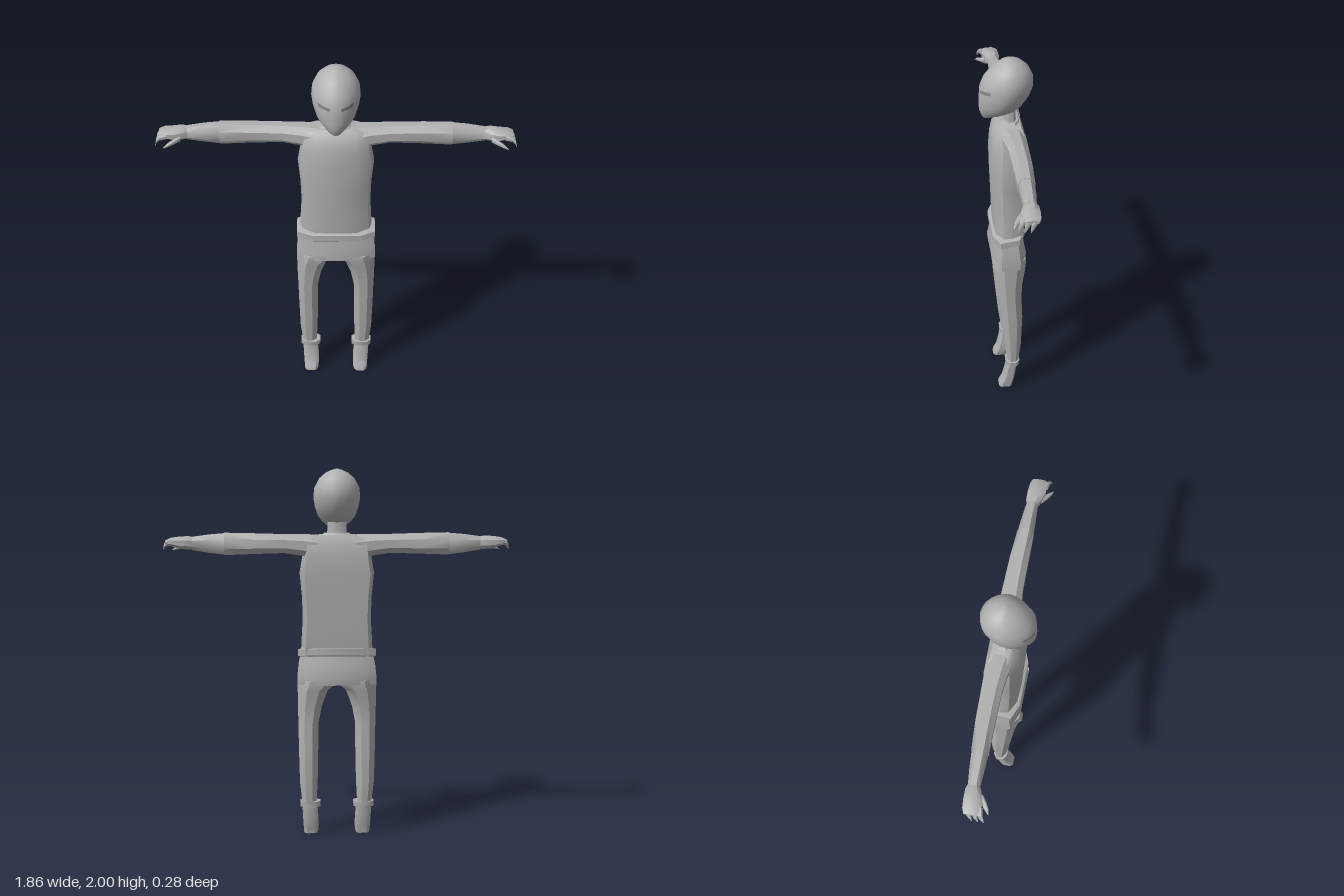
import * as THREE from 'three';
import { toCreasedNormals } from 'three/addons/utils/BufferGeometryUtils.js';

const grey = new THREE.MeshStandardMaterial({ color: 0xb0b0b0 });
grey.name = 'grey';
const darkGrey = new THREE.MeshStandardMaterial({ color: 0x858585, side: THREE.DoubleSide });
darkGrey.name = 'dark grey';

// Capped skin over rings of [x, y, z] points, turned outward by its signed volume
function loft(rings, crease = 0.65) {
  const n = rings[0].length, m = rings.length, pts = rings.flat(), idx = [];
  for (let i = 0; i < m - 1; i++) {
    for (let j = 0; j < n; j++) {
      const a = i * n + j, b = i * n + (j + 1) % n;
      idx.push(a, b, b + n, a, b + n, a + n);
    }
  }
  [0, m - 1].forEach((r, end) => {
    const c = [0, 1, 2].map(k => rings[r].reduce((s, p) => s + p[k], 0) / n);
    pts.push(c);
    for (let j = 0; j < n; j++) {
      const a = r * n + j, b = r * n + (j + 1) % n;
      idx.push(...(end ? [a, b, pts.length - 1] : [b, a, pts.length - 1]));
    }
  });
  const v = pts.map(p => new THREE.Vector3(...p));
  let volume = 0;
  for (let i = 0; i < idx.length; i += 3) {
    volume += v[idx[i]].dot(v[idx[i + 1]].clone().cross(v[idx[i + 2]]));
  }
  if (volume < 0) idx.reverse();
  const g = new THREE.BufferGeometry();
  g.setAttribute('position', new THREE.Float32BufferAttribute(pts.flat(), 3));
  g.setIndex(idx);
  return toCreasedNormals(g, crease);
}

// Octagon inside the rectangle a0..a1 by b0..b1
function octagon(a0, a1, b0, b1, k = 0.28) {
  const a = (a1 - a0) * k, b = (b1 - b0) * k;
  return [[a0 + a, b0], [a1 - a, b0], [a1, b0 + b], [a1, b1 - b],
    [a1 - a, b1], [a0 + a, b1], [a0, b1 - b], [a0, b0 + b]];
}
// Upright loft from [y, x0, x1, zBack, zFront]; side mirrors x
const loftY = (rows, side = 1, k) => loft(rows.map(([y, x0, x1, z0, z1]) =>
  octagon(x0, x1, z0, z1, k).map(([x, z]) => [x * side, y, z])));
// Sideways loft from [x, y0, y1, zBack, zFront]
const loftX = (rows, side = 1, k) => loft(rows.map(([x, y0, y1, z0, z1]) =>
  octagon(y0, y1, z0, z1, k).map(([y, z]) => [x * side, y, z])));

// Head sections: y, half width, zBack, zFront
const headRows = [
  [1.68, 0.025, 0.075, 0.122], [1.70, 0.055, 0.0, 0.132], [1.72, 0.078, -0.05, 0.138],
  [1.75, 0.1, -0.085, 0.142], [1.8, 0.117, -0.118, 0.14], [1.85, 0.125, -0.137, 0.136],
  [1.9, 0.12, -0.138, 0.116], [1.95, 0.094, -0.115, 0.076], [1.98, 0.06, -0.08, 0.036],
  [1.995, 0.026, -0.045, 0.002], [2.0, 0.006, -0.026, -0.014]];
function headPoint(y, t, out = 0) {
  let i = 0;
  while (i < headRows.length - 2 && y > headRows[i + 1][0]) i++;
  const a = headRows[i], b = headRows[i + 1], f = (y - a[0]) / (b[0] - a[0]);
  const [w, zb, zf] = [1, 2, 3].map(k => a[k] + (b[k] - a[k]) * f);
  const c = Math.cos(t), mid = (zb + zf) / 2;
  // the face narrows toward a centre ridge
  const x = (w + out) * Math.sin(t) * (1 - 0.13 * Math.max(0, c));
  return [x, y, mid + ((zf - zb) / 2 + out) * c];
}

export function createModel() {
  const model = new THREE.Group();
  const add = (name, geometry, material = grey) => {
    const mesh = new THREE.Mesh(geometry, material);
    mesh.name = name;
    model.add(mesh);
  };

  // Head and neck
  const turn = Array.from({ length: 24 }, (_, i) => i / 24 * Math.PI * 2);
  add('head', loft(headRows.map(r => turn.map(t => headPoint(r[0], t))), 0.9));
  add('neck', loftY([[1.62, -0.058, 0.058, -0.055, 0.015], [1.68, -0.05, 0.05, -0.047, 0.008],
    [1.76, -0.05, 0.05, -0.047, 0.008]]));
  add('collar', loftY([[1.635, -0.1, 0.1, -0.075, 0.035], [1.662, -0.065, 0.065, -0.06, 0.02]]));

  // Torso: y, half width, zBack, zFront; narrow chest panel and broad flat back
  const torso = [[1.0, 0.195, -0.07, 0.072], [1.1, 0.19, -0.08, 0.076], [1.2, 0.184, -0.086, 0.08],
    [1.32, 0.188, -0.092, 0.085], [1.45, 0.2, -0.1, 0.088], [1.54, 0.185, -0.098, 0.082],
    [1.6, 0.18, -0.09, 0.07], [1.635, 0.16, -0.078, 0.045], [1.652, 0.11, -0.07, 0.03]];
  add('torso', loft(torso.map(([y, w, zb, zf]) => {
    const half = [[w * 0.58, zf * 0.93], [w * 0.93, zf * 0.45], [w, -0.01], [w * 0.88, zb * 0.97]];
    const left = half.map(([x, z]) => [x, y, z]);
    const right = half.map(([x, z]) => [-x, y, z]).reverse();
    return [[0, y, zf], ...left, [0, y, zb], ...right];
  })));

  // Belt, dipping at the front
  const beltRing = (y, w, d) => octagon(-w, w, -0.08 - d, 0.082 + d, 0.2)
    .map(([x, z]) => [x, y - z * 0.16, z]);
  add('belt', loft([beltRing(0.99, 0.205, 0), beltRing(0.995, 0.211, 0.004),
    beltRing(1.03, 0.211, 0.004), beltRing(1.034, 0.198, -0.004)], 0.4));

  // Hips
  add('hips', loftY([[1.01, -0.195, 0.195, -0.075, 0.075], [0.95, -0.207, 0.207, -0.084, 0.078],
    [0.89, -0.213, 0.213, -0.095, 0.088], [0.845, -0.214, 0.214, -0.09, 0.088]], 1, 0.22));

  for (const side of [1, -1]) {
    const label = side > 0 ? 'left' : 'right';

    // Eye slit following the face
    const eye = new THREE.PlaneGeometry(1, 1, 4, 1), p = eye.attributes.position;
    for (let i = 0; i < p.count; i++) {
      const u = p.getX(i) + 0.5, y = 1.838 + p.getY(i) * 0.018 + u * 0.008;
      p.setXYZ(i, ...headPoint(y, side * (0.26 + u * 0.62), 0.003));
    }
    eye.computeVertexNormals();
    add(label + 'Eye', eye, darkGrey);

    // Trouser leg, arched at the crotch
    add(label + 'Leg', loftY([[0.87, -0.01, 0.214, -0.09, 0.088], [0.842, 0.01, 0.214, -0.09, 0.088],
      [0.81, 0.05, 0.213, -0.084, 0.082], [0.72, 0.083, 0.212, -0.068, 0.067],
      [0.63, 0.1, 0.21, -0.064, 0.058], [0.5, 0.102, 0.208, -0.07, 0.046],
      [0.3, 0.106, 0.203, -0.063, 0.026], [0.18, 0.112, 0.19, -0.05, 0.01]], side, 0.3));
    add(label + 'Cuff', loftY([[0.16, 0.092, 0.2, -0.054, 0.02],
      [0.19, 0.09, 0.202, -0.056, 0.022]], side, 0.25));

    // Foot, pushed forward at the toe
    add(label + 'Foot', loftY([[0.17, 0.108, 0.19, -0.04, 0.014], [0.1, 0.102, 0.187, -0.034, 0.026],
      [0.05, 0.1, 0.184, -0.026, 0.038], [0.02, 0.102, 0.182, -0.018, 0.055],
      [0, 0.107, 0.18, -0.015, 0.06]], side, 0.2));

    // Sleeve: upper arm and forearm
    add(label + 'Sleeve', loftX([[0.1, 1.52, 1.652, -0.088, 0.045], [0.19, 1.543, 1.654, -0.085, 0.03],
      [0.28, 1.557, 1.655, -0.082, 0.02], [0.45, 1.552, 1.66, -0.078, 0.018],
      [0.6, 1.546, 1.663, -0.068, 0.017]], side));
    add(label + 'Forearm', loftX([[0.595, 1.548, 1.661, -0.066, 0.015],
      [0.68, 1.558, 1.654, -0.06, 0.012], [0.77, 1.572, 1.642, -0.05, 0.008]], side));

    // Hand with curled, pointed fingers
    add(label + 'Palm', loftX([[0.75, 1.577, 1.637, -0.045, 0.003], [0.79, 1.575, 1.645, -0.058, 0.02],
      [0.84, 1.58, 1.642, -0.058, 0.036], [0.885, 1.595, 1.636, -0.054, 0.034],
      [0.912, 1.603, 1.624, -0.044, 0.024]], side));
    for (const z of [-0.03, 0, 0.028]) {
      add(label + 'Finger', loftX([[0.87, 1.597, 1.63, z - 0.014, z + 0.014],
        [0.905, 1.594, 1.622, z - 0.007, z + 0.02], [0.92, 1.584, 1.608, z + 0.008, z + 0.027],
        [0.928, 1.57, 1.574, z + 0.026, z + 0.03]], side));
    }
    add(label + 'Thumb', loftX([[0.8, 1.578, 1.61, 0.0, 0.03], [0.83, 1.574, 1.6, 0.022, 0.052],
      [0.86, 1.569, 1.588, 0.044, 0.067], [0.885, 1.565, 1.569, 0.068, 0.072]], side));
  }
  return model;
}
